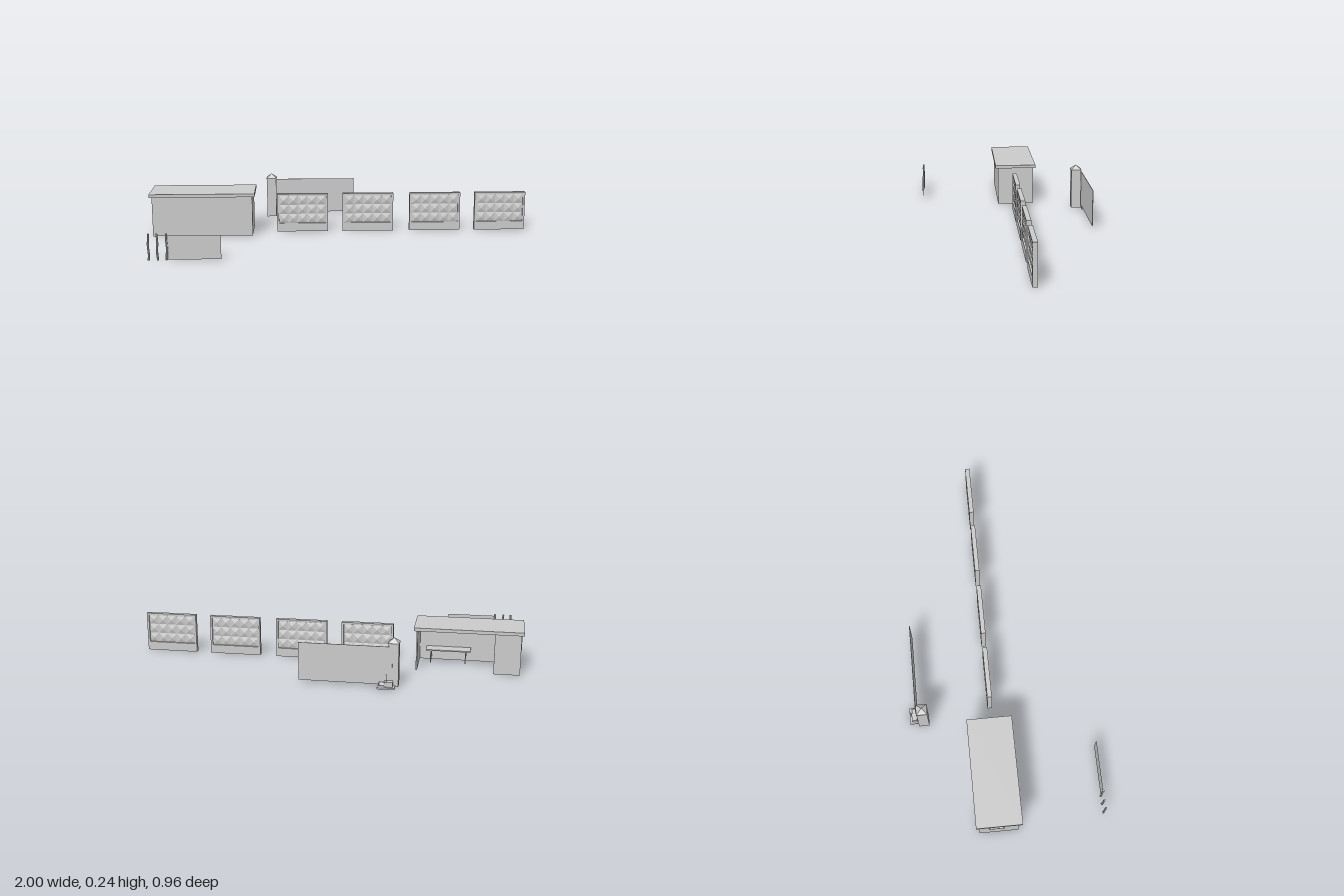
import * as THREE from 'three';

const mat = new THREE.MeshStandardMaterial({ color: 0xcccccc, flatShading: true, side: THREE.DoubleSide });

function add(parent, name, geo, x = 0, y = 0, z = 0) {
  const m = new THREE.Mesh(geo, mat);
  m.name = name;
  m.position.set(x, y, z);
  parent.add(m);
  return m;
}

// Box given by its extents on each axis
function block(parent, name, x0, x1, y0, y1, z0, z1) {
  return add(parent, name, new THREE.BoxGeometry(x1 - x0, y1 - y0, z1 - z0),
    (x0 + x1) / 2, (y0 + y1) / 2, (z0 + z1) / 2);
}

function group(parent, name) {
  const g = new THREE.Group();
  g.name = name;
  parent.add(g);
  return g;
}

function rect(shape, a0, a1, b0, b1) {
  shape.moveTo(a0, b0);
  shape.lineTo(a1, b0);
  shape.lineTo(a1, b1);
  shape.lineTo(a0, b1);
  shape.closePath();
  return shape;
}

// Square pyramid with its base on y = 0
function pyramid(size, height) {
  return new THREE.ConeGeometry(size / Math.SQRT2, height, 4).rotateY(Math.PI / 4).translate(0, height / 2, 0);
}

// Wall in the zy plane with a rectangular opening, or a frame when sized tightly
function openWall(parent, name, x, thickness, outer, inner) {
  const s = rect(new THREE.Shape(), ...outer);
  s.holes.push(rect(new THREE.Path(), ...inner));
  const geo = new THREE.ExtrudeGeometry(s, { depth: thickness, bevelEnabled: false });
  geo.rotateY(-Math.PI / 2).translate(thickness, 0, 0);
  return add(parent, name, geo, x);
}

function buildShelter(root) {
  const g = group(root, 'shelter');
  block(g, 'roof', -1, -0.45, 0.211, 0.228, -0.184, 0.046);
  block(g, 'longWall', -0.987, -0.463, 0, 0.211, 0.023, 0.03);
  block(g, 'endWall', -0.47, -0.463, 0, 0.211, -0.17, 0.03);
  block(g, 'shortWall', -0.987, -0.855, 0, 0.211, -0.17, -0.163);
  openWall(g, 'windowWall', -0.987, 0.007, [-0.17, 0.03, 0, 0.211], [-0.115, -0.045, 0.112, 0.18]);
  openWall(g, 'windowFrame', -0.991, 0.012, [-0.12, -0.04, 0.107, 0.185], [-0.112, -0.048, 0.115, 0.177]);
  // Bench inside
  const b = group(g, 'bench');
  block(b, 'benchSeat', -0.735, -0.505, 0.066, 0.072, -0.045, 0.023);
  for (const x of [-0.71, -0.53])
    for (const z of [-0.035, 0.013])
      block(b, 'benchLeg', x - 0.003, x + 0.003, 0, 0.066, z - 0.003, z + 0.003);
}

// Cast wall section with pyramid relief on both faces
function buildFence(root, x0) {
  const g = group(root, 'fencePanel');
  const w = 0.272, z0 = -0.068, z1 = -0.044, zc = (z0 + z1) / 2, rim = 0.011;
  const bottom = 0.045, top = 0.205;
  block(g, 'fenceBase', x0, x0 + w, 0, bottom, z0, z1);
  block(g, 'fenceTopRail', x0, x0 + w, top - rim, top, z0, z1);
  for (const x of [x0, x0 + w - rim])
    block(g, 'fenceSideRail', x, x + rim, bottom, top - rim, z0, z1);
  block(g, 'fenceSlab', x0 + rim, x0 + w - rim, bottom, top - rim, zc - 0.004, zc + 0.004);
  const cw = (w - 2 * rim) / 5, ch = (top - rim - bottom) / 3;
  for (const side of [1, -1])
    for (let i = 0; i < 5; i++)
      for (let j = 0; j < 3; j++) {
        const geo = pyramid(1, 0.007).scale(cw, 1, ch).rotateX(side * Math.PI / 2);
        add(g, 'fenceRelief', geo, x0 + rim + (i + 0.5) * cw, bottom + (j + 0.5) * ch, zc + side * 0.004);
      }
}

function buildGate(root) {
  const g = group(root, 'gate');
  const px = -0.374, pz = -0.407;
  block(g, 'pillar', px - 0.026, px + 0.026, 0, 0.215, pz - 0.027, pz + 0.027);
  block(g, 'pillarCapRim', px - 0.028, px + 0.028, 0.215, 0.22, pz - 0.029, pz + 0.029);
  add(g, 'pillarCap', pyramid(0.056, 0.024), px, 0.22, pz);
  block(g, 'gateLeaf', -0.37, 0.092, 0.012, 0.205, -0.4405, -0.4375);
  // Drive unit behind the pillar
  const d = group(g, 'gateDrive');
  block(d, 'driveBase', -0.386, -0.3, 0, 0.008, -0.48, -0.435);
  block(d, 'driveHousing', -0.376, -0.334, 0.008, 0.034, -0.469, -0.442);
  const drum = new THREE.CylinderGeometry(0.01, 0.01, 0.066, 12).rotateZ(Math.PI / 2);
  add(d, 'driveMotor', drum, -0.343, 0.019, -0.456);
  const hub = new THREE.TorusGeometry(0.01, 0.002, 6, 12).rotateY(Math.PI / 2);
  add(d, 'driveHub', hub, -0.31, 0.019, -0.456);
  add(d, 'driveLever', new THREE.CylinderGeometry(0.0015, 0.0015, 0.068, 6), -0.345, 0.041, -0.471);
  add(d, 'leverKnob', new THREE.SphereGeometry(0.003, 6, 4), -0.345, 0.073, -0.471);
}

// Slightly crooked wooden stake
function buildStake(root, x, seed) {
  const pts = [];
  for (let i = 0; i <= 5; i++)
    pts.push(new THREE.Vector3(0.002 * Math.sin(i * 1.7 + seed), 0.132 * i / 5, 0.0015 * Math.cos(i * 1.4 + seed)));
  const geo = new THREE.CylinderGeometry(0.005, 0.0055, 0.132, 7, 5).translate(0, 0.066, 0);
  const pos = geo.attributes.position;
  for (let i = 0; i < pos.count; i++) {
    const p = pts[Math.round(pos.getY(i) / 0.132 * 5)];
    pos.setXYZ(i, pos.getX(i) + p.x, pos.getY(i), pos.getZ(i) + p.z);
  }
  geo.computeVertexNormals();
  add(root, 'stake', geo, x, 0, 0.469);
}

export function createModel() {
  const root = new THREE.Group();
  root.name = 'streetSet';
  buildShelter(root);
  for (const x of [-0.336, 0.014, 0.374, 0.725]) buildFence(root, x);
  buildGate(root);
  // Stakes with a thin sheet stretched from the last one
  const s = group(root, 'stakeFence');
  [-0.943, -0.9, -0.855].forEach((x, i) => buildStake(s, x, i * 2.1));
  add(s, 'sheet', new THREE.PlaneGeometry(0.257, 0.121), -0.722, 0.0625, 0.469);
  return root;
}
